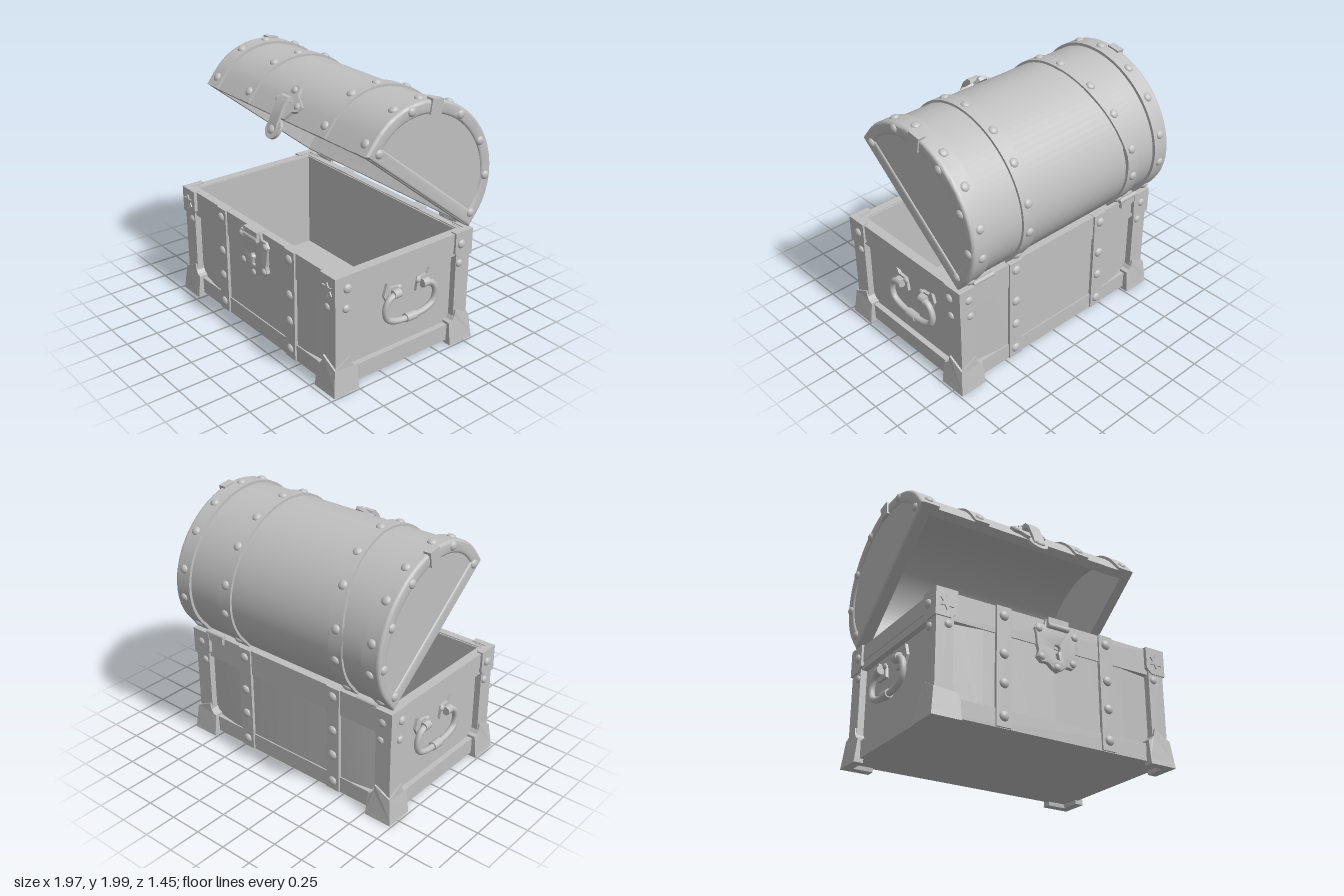
import * as THREE from 'three';
import { toCreasedNormals } from 'three/addons/utils/BufferGeometryUtils.js';

const metal = new THREE.MeshStandardMaterial({ color: 0xc0c0c0 });
metal.name = 'plain grey';

function add(parent, name, geo) {
  const m = new THREE.Mesh(geo, metal);
  m.name = name;
  parent.add(m);
  return m;
}

// Box given by its limits on each axis
function box(parent, name, x0, x1, y0, y1, z0, z1) {
  const g = new THREE.BoxGeometry(x1 - x0, y1 - y0, z1 - z0);
  g.translate((x0 + x1) / 2, (y0 + y1) / 2, (z0 + z1) / 2);
  return add(parent, name, g);
}

// Domed rivet on a surface with the given normal
const domeGeo = new THREE.SphereGeometry(1, 14, 6, 0, Math.PI * 2, 0, Math.PI / 2);
function rivet(parent, p, n, r = 0.034) {
  const m = add(parent, 'rivet', domeGeo);
  m.scale.set(r, r * 0.65, r);
  m.position.set(...p);
  m.quaternion.setFromUnitVectors(new THREE.Vector3(0, 1, 0), new THREE.Vector3(...n).normalize());
}

const shapeOf = pts => new THREE.Shape(pts.map(p => new THREE.Vector2(...p)));
const mirrored = half => [...half, ...half.slice().reverse().filter(p => p[0] > 0).map(([x, y]) => [-x, y])];

function extrude(shape, depth, bevel = 0) {
  const g = new THREE.ExtrudeGeometry(shape, {
    depth: depth - 2 * bevel, bevelEnabled: bevel > 0, bevelSize: bevel,
    bevelThickness: bevel, bevelOffset: -bevel, bevelSegments: 3, curveSegments: 12,
  });
  g.translate(0, 0, bevel);
  return toCreasedNormals(g, 0.6);
}

// Extrude a (z, y) section along x between two limits
function extrudeX(shape, x0, x1, bevel = 0) {
  const g = extrude(shape, x1 - x0, bevel);
  g.rotateY(-Math.PI / 2);
  g.translate(x1, 0, 0);
  return g;
}

// Lid section: short straight sides under a half ellipse
const RISE = 0.123, RZ = 0.62, RY = 0.53;
function arch(off, base = 0) {
  const pts = [[RZ + off, base]];
  for (let i = 0; i <= 40; i++) {
    const t = Math.PI * i / 40;
    pts.push([(RZ + off) * Math.cos(t), RISE + (RY + off) * Math.sin(t)]);
  }
  pts.push([-RZ - off, base]);
  return pts;
}
const archBand = (outer, inner) => shapeOf([...arch(outer), ...arch(inner).reverse()]);

// Row of rivets over the lid
function lidRivets(parent, x, off, shift = () => 0) {
  for (const s of [1, -1]) rivet(parent, [x + shift(s * RZ, 0.08), 0.08, s * (RZ + off)], [0, 0, s]);
  for (const d of [27, 50, 78, 102, 130, 153]) {
    const t = d * Math.PI / 180, c = Math.cos(t), s = Math.sin(t);
    const z = (RZ + off) * c, y = RISE + (RY + off) * s;
    rivet(parent, [x + shift(z, y), y, z], [0, s / RY, c / RZ]);
  }
}

function makeLid() {
  const lid = new THREE.Group();
  lid.name = 'lid';
  add(lid, 'lidShell', extrudeX(archBand(-0.022, -0.085), -0.93, 0.93));

  // Straps; the one at -x drifts outward toward the hinge
  const drift = (z, y) => -0.115 * Math.pow(Math.max(0, Math.min(1.1, (0.65 - Math.atan2(z, y)) / 1.24)), 1.5);
  for (const s of [1, -1]) {
    const g = extrudeX(archBand(-0.004, -0.04), s * 0.45 - 0.058, s * 0.45 + 0.058);
    if (s < 0) {
      const p = g.attributes.position;
      for (let i = 0; i < p.count; i++) p.setX(i, p.getX(i) + drift(p.getZ(i), p.getY(i)));
    }
    add(lid, 'lidStrap', g);
    lidRivets(lid, s * 0.45, -0.007, s < 0 ? drift : undefined);
  }

  // End walls, rounded rims and their rivets
  const rim = shapeOf(arch(0));
  rim.holes.push(new THREE.Path(arch(-0.095, 0.105).map(p => new THREE.Vector2(...p))));
  for (const s of [1, -1]) {
    const span = (a, b) => s > 0 ? [a, b] : [-b, -a];
    add(lid, 'lidEndWall', extrudeX(shapeOf(arch(-0.04)), ...span(0.86, 0.944)));
    add(lid, 'lidEndBand', extrudeX(archBand(0, -0.04), ...span(0.81, 0.93)));
    add(lid, 'lidEndRim', extrudeX(rim, ...span(0.9, 0.955), 0.02));
    lidRivets(lid, s * 0.875, -0.003);
    for (const [z, y] of [[0.54, 0.065], [0.47, 0.41], [0.05, 0.6], [-0.256, 0.54], [-0.485, 0.37], [-0.55, 0.09]])
      rivet(lid, [s * 0.952, y, z], [s, 0, 0]);
    const clip = add(lid, 'rimClip', new THREE.BoxGeometry(0.06, 0.11, 0.1));
    clip.position.set(s * 0.937, 0.54, 0.3);
    clip.rotation.x = 0.5;
  }

  // Hasp: lobed plate, hinged strap and ring tip
  const plate = add(lid, 'haspPlate', extrude(shapeOf(mirrored(
    [[0, 0.26], [0.035, 0.25], [0.055, 0.19], [0.1, 0.17], [0.155, 0.13], [0.14, 0.085], [0.09, 0.065], [0.06, 0], [0, -0.01]])), 0.026));
  plate.position.z = 0.602;
  plate.rotation.x = -0.06;
  for (const [x, y] of [[0.11, 0.12], [-0.11, 0.12], [0, 0.22]]) rivet(lid, [x, y, 0.618], [0, 0, 1], 0.026);
  add(lid, 'hasp', extrudeX(shapeOf([[0.62, 0.15], [0.65, 0.165], [0.675, 0.145], [0.68, 0.08], [0.65, -0.05],
    [0.63, -0.1], [0.61, -0.1], [0.63, -0.05], [0.655, 0.08], [0.645, 0.125], [0.62, 0.125]]), -0.048, 0.048));
  const tip = add(lid, 'haspTip', new THREE.CylinderGeometry(0.078, 0.078, 0.022, 24));
  tip.rotation.x = Math.PI / 2 + 0.1;
  tip.position.set(0, -0.085, 0.612);
  rivet(lid, [0, -0.095, 0.624], [0, 0, 1], 0.038);

  lid.position.set(0, 1.305, -0.05);
  lid.rotation.x = -0.675;
  return lid;
}

// Corner with two equal faces, its outer edge on the local y axis
function makeCorner() {
  const g = new THREE.Group();
  g.name = 'corner';
  const pieces = [
    ['post', [[0, 0.04], [0.132, 0.04], [0.132, 0.9], [0, 0.9]], 0.05, 0],
    ['cornerCap', [[0, 0.7], [0.12, 0.7], [0.165, 0.74], [0.165, 0.905], [0, 0.905]], 0.05, 0.012],
    ['foot', [[0, 0], [0.22, 0], [0.215, 0.04], [0.195, 0.18], [0.165, 0.19], [0.145, 0.22], [0.135, 0.27], [0, 0.2], [0, 0.04]], 0.07, 0.014],
  ];
  for (const [name, pts, t, out] of pieces) for (const side of [0, 1]) {
    const geo = extrude(shapeOf(side ? pts : pts.map(([x, y]) => [-x, y]).reverse()), t);
    geo.translate(0, 0, -t);
    if (side) geo.rotateY(Math.PI / 2);
    geo.translate(out, 0, out);
    if (name === 'foot') {
      const p = geo.attributes.position;
      for (let i = 0; i < p.count; i++) {
        const f = 0.022 * Math.max(0, 1 - p.getY(i) / 0.17);
        p.setX(i, p.getX(i) + f);
        p.setZ(i, p.getZ(i) + f);
      }
      geo.computeVertexNormals();
    }
    add(g, name, geo);
  }
  return g;
}

function makeHandle(s) {
  const g = new THREE.Group();
  g.name = 'handle';
  const half = [[0.135, 0.6], [0.2, 0.575], [0.235, 0.5], [0.215, 0.425], [0.14, 0.385]];
  const pts = [...half, [0, 0.372], ...half.slice().reverse().map(([z, y]) => [-z, y])];
  const curve = new THREE.CatmullRomCurve3(pts.map(([z, y]) => new THREE.Vector3(s * 0.945, y, z)));
  add(g, 'handleRing', new THREE.TubeGeometry(curve, 60, 0.024, 10));
  const grip = add(g, 'handleCollar', new THREE.CylinderGeometry(0.033, 0.033, 0.09, 14));
  grip.rotation.x = Math.PI / 2;
  grip.position.set(s * 0.945, 0.374, 0);
  for (const k of [1, -1]) {
    const plate = shapeOf([[0.07, 0.54], [0.2, 0.54], [0.23, 0.6], [0.2, 0.69], [0.17, 0.645], [0.09, 0.64]].map(([z, y]) => [k * z, y]));
    add(g, 'handlePlate', extrudeX(plate, s * 0.905 - 0.015, s * 0.905 + 0.015));
    const knuckle = add(g, 'handleKnuckle', new THREE.CylinderGeometry(0.034, 0.034, 0.06, 14));
    knuckle.rotation.x = Math.PI / 2;
    knuckle.position.set(s * 0.94, 0.6, k * 0.135);
    rivet(g, [s * 0.918, 0.625, k * 0.09], [s, 0, 0], 0.025);
  }
  return g;
}

function makeBase() {
  const base = new THREE.Group();
  base.name = 'base';
  box(base, 'floor', -0.92, 0.92, 0.03, 0.1, -0.52, 0.65);
  for (const s of [1, -1]) {
    // Recessed side wall, rails and handle
    const a = s * 0.882, b = s * 0.91;
    box(base, 'sidePanel', a - 0.015, a + 0.015, 0.04, 0.89, -0.5, 0.625);
    box(base, 'sideTopRail', b - 0.03, b + 0.03, 0.715, 0.895, -0.52, 0.65);
    box(base, 'sideRailLip', b - 0.036, b + 0.036, 0.775, 0.895, -0.52, 0.65);
    box(base, 'sideBottomRail', b - 0.03, b + 0.03, 0.03, 0.16, -0.52, 0.65);
    base.add(makeHandle(s));
    for (const z of [0.59, -0.455]) {
      rivet(base, [s * 0.962, 0.81, z], [s, 0, 0]);
      rivet(base, [s * 0.95, 0.65, z], [s, 0, 0], 0.03);
    }
  }

  // Front and back panels, rails, straps and rivets
  for (const [f, face] of [[1, 0.665], [-1, -0.54]]) {
    const slab = (name, x0, x1, y0, y1, out) => {
      const a = face + f * out, b = face - f * 0.06;
      box(base, name, x0, x1, y0, y1, Math.min(a, b), Math.max(a, b));
    };
    // Panel nearly flush in the middle, folding inward beside the corner posts
    const plan = mirrored([[0, face - f * 0.01], [0.58, face - f * 0.01], [0.88, face - f * 0.055], [0.88, face - f * 0.07], [0, face - f * 0.07]]);
    const panel = extrude(shapeOf(plan.map(([x, z]) => [x, -z])), 0.85);
    panel.rotateX(-Math.PI / 2);
    panel.translate(0, 0.04, 0);
    add(base, f > 0 ? 'frontPanel' : 'backPanel', panel);
    slab('topRail', -0.92, 0.92, 0.695, 0.897, 0);
    slab('bottomRail', -0.92, 0.92, 0.03, 0.16, 0);
    for (const s of [1, -1]) {
      slab('strap', s * 0.43 - 0.058, s * 0.43 + 0.058, 0.035, 0.9, 0.014);
      for (const y of [0.11, 0.34, 0.55, 0.83]) rivet(base, [s * 0.43, y, face + f * 0.012], [0, 0, f], 0.037);
      rivet(base, [s * 0.86, 0.655, face + f * 0.012], [0, 0, f], 0.03);
      if (f < 0) rivet(base, [s * 0.88, 0.81, face - 0.02], [0, 0, f]);
    }
  }

  // Four corners
  [[0.95, 0.68, 0], [0.95, -0.555, 1], [-0.95, -0.555, 2], [-0.95, 0.68, 3]].forEach(([x, z, k]) => {
    const c = makeCorner();
    c.position.set(x, 0, z);
    c.rotation.y = k * Math.PI / 2;
    base.add(c);
  });

  // Six-pointed stars on the front caps
  const star = [];
  for (let i = 0; i < 12; i++) {
    const r = i % 2 ? 0.03 : 0.058, t = i * Math.PI / 6 + Math.PI / 2;
    star.push([r * Math.cos(t), r * Math.sin(t)]);
  }
  for (const s of [1, -1]) add(base, 'star', extrude(shapeOf(star), 0.014)).position.set(s * 0.88, 0.8, 0.688);

  // Lock plate with a keyhole, and its catch
  const lock = shapeOf(mirrored([[0, 0.515], [0.05, 0.545], [0.08, 0.57], [0.13, 0.565], [0.165, 0.6], [0.15, 0.65],
    [0.165, 0.7], [0.17, 0.77], [0.185, 0.81], [0.16, 0.85], [0.1, 0.85], [0.09, 0.9], [0, 0.9]]));
  const key = new THREE.Path();
  key.moveTo(-0.022, 0.61).lineTo(-0.01, 0.665);
  key.absarc(0, 0.69, 0.027, Math.PI * 1.4, -Math.PI * 0.4, true);
  key.lineTo(0.022, 0.61);
  lock.holes.push(key);
  add(base, 'lockPlate', extrude(lock, 0.066, 0.006)).position.z = 0.62;
  for (const [x, y] of [[0.15, 0.81], [-0.15, 0.81], [0.13, 0.605], [-0.13, 0.605], [0, 0.55]])
    rivet(base, [x, y, 0.684], [0, 0, 1], 0.028);
  box(base, 'catch', -0.085, 0.085, 0.85, 0.905, 0.63, 0.71);
  const roll = add(base, 'catchRoll', new THREE.CylinderGeometry(0.02, 0.02, 0.17, 14));
  roll.rotation.z = Math.PI / 2;
  roll.position.set(0, 0.845, 0.7);

  // Hinges behind the rim
  for (const s of [1, -1]) {
    const pin = add(base, 'hingePin', new THREE.CylinderGeometry(0.018, 0.018, 0.18, 12));
    pin.rotation.z = Math.PI / 2;
    pin.position.set(s * 0.735, 0.912, -0.548);
    box(base, 'hingeLeaf', s * 0.735 - 0.08, s * 0.735 + 0.08, 0.85, 0.91, -0.562, -0.53);
  }
  return base;
}

export function createModel() {
  const model = new THREE.Group();
  model.name = 'chest';
  model.add(makeBase(), makeLid());
  return model;
}
